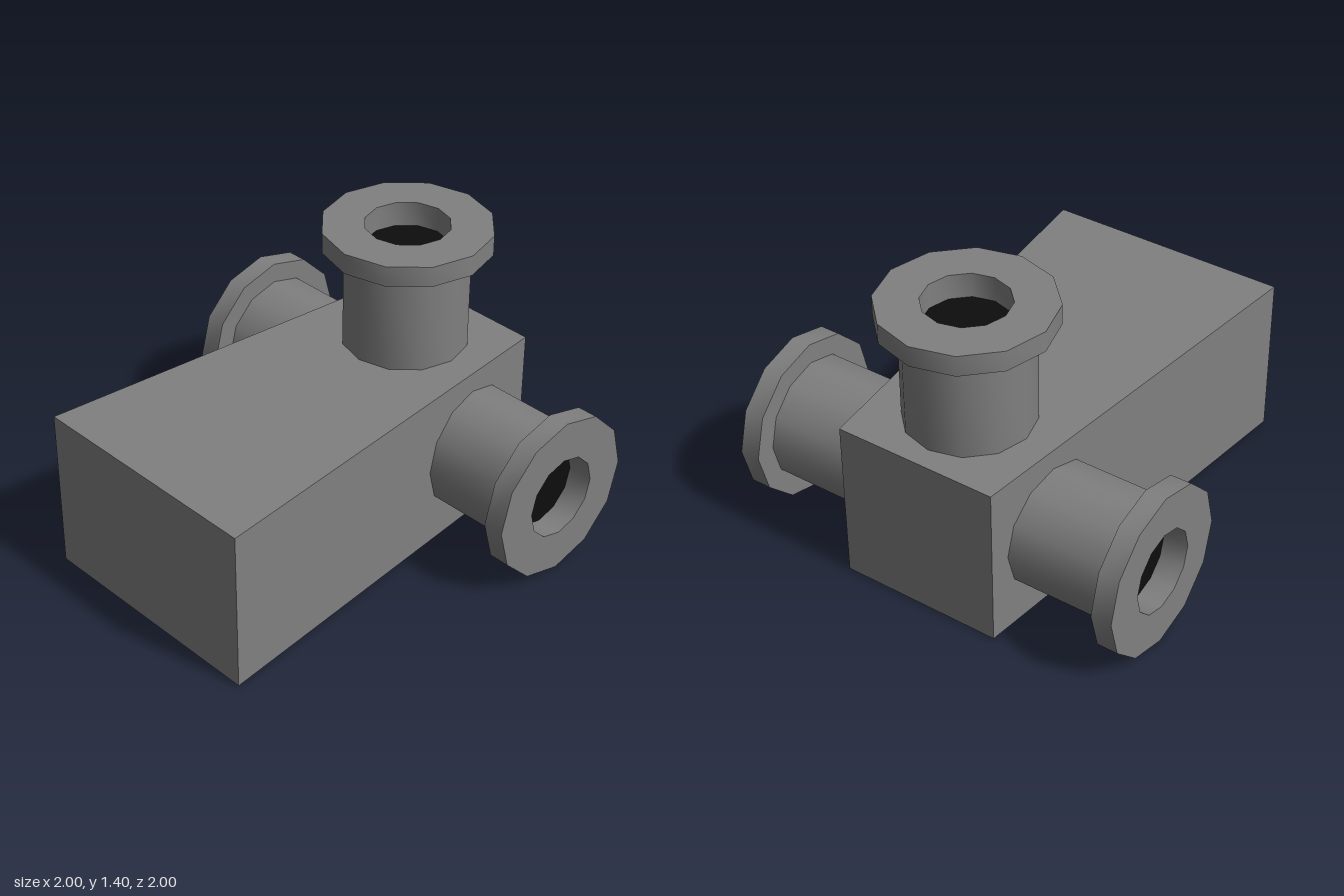
import * as THREE from 'three';
import { toCreasedNormals } from 'three/addons/utils/BufferGeometryUtils.js';

export function createModel() {
  const model = new THREE.Group();
  model.name = 'pipeJunction';
  const grey = new THREE.MeshStandardMaterial({ color: 0x808080 });
  grey.name = 'grey';
  const black = new THREE.MeshStandardMaterial({ color: 0x0d0d0d });
  black.name = 'black';

  const SIDES = 12;

  // Tapered body: wide at the front, narrow at the back
  const plan = new THREE.Shape([
    new THREE.Vector2(-0.6, -1),
    new THREE.Vector2(0.6, -1),
    new THREE.Vector2(0.4, 1),
    new THREE.Vector2(-0.4, 1),
  ]);
  const bodyGeometry = new THREE.ExtrudeGeometry(plan, { depth: 0.8, bevelEnabled: false });
  bodyGeometry.rotateX(-Math.PI / 2);
  const body = new THREE.Mesh(bodyGeometry, grey);
  body.name = 'body';
  model.add(body);

  // Pipe, flange and the wall of the bore in one turned profile
  const profile = [
    [0.3, 0.3], [0.3, 0.9], [0.4, 0.9], [0.4, 1], [0.2, 1], [0.2, 0.88],
  ].map(([r, y]) => new THREE.Vector2(r, y));
  const pipeGeometry = toCreasedNormals(new THREE.LatheGeometry(profile, SIDES), 0.7);

  // Dark floor of the bore
  const boreGeometry = new THREE.CircleGeometry(0.2, SIDES);
  boreGeometry.rotateX(-Math.PI / 2);
  boreGeometry.translate(0, 0.88, 0);

  // Three equal nozzles leave one common centre
  const nozzles = [['topNozzle', 0], ['leftNozzle', -Math.PI / 2], ['rightNozzle', Math.PI / 2]];
  for (const [name, angle] of nozzles) {
    const nozzle = new THREE.Group();
    nozzle.name = name;
    const pipe = new THREE.Mesh(pipeGeometry, grey);
    pipe.name = 'flangedPipe';
    const bore = new THREE.Mesh(boreGeometry, black);
    bore.name = 'bore';
    nozzle.add(pipe, bore);
    nozzle.position.set(0, 0.4, -0.6);
    nozzle.rotation.z = angle;
    model.add(nozzle);
  }

  return model;
}
